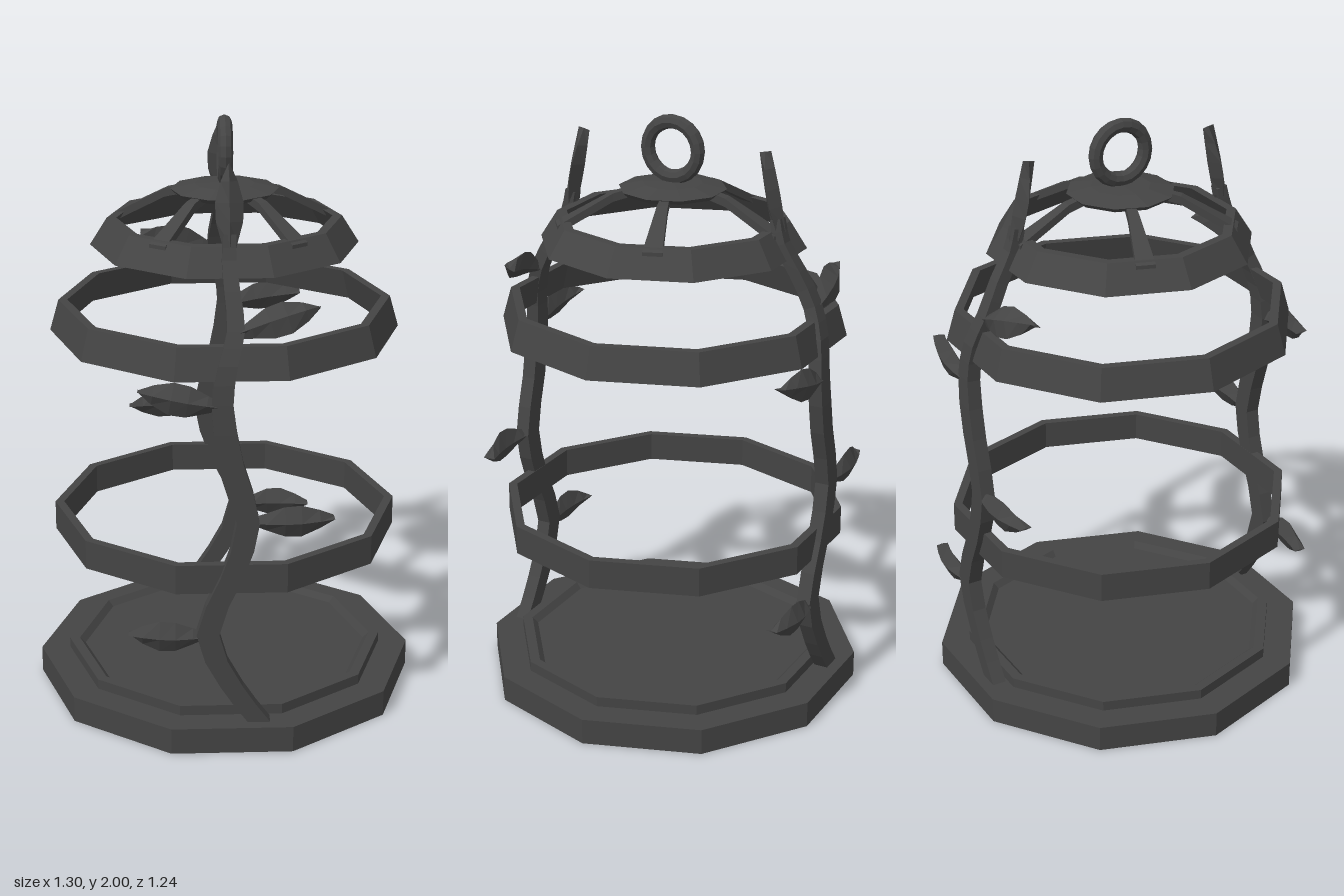
import * as THREE from 'three';

const material = new THREE.MeshStandardMaterial({ color: 0x444444, flatShading: true });
const V = (x, y, z) => new THREE.Vector3(x, y, z);

function add(parent, name, geometry) {
  const mesh = new THREE.Mesh(geometry, material);
  mesh.name = name;
  parent.add(mesh);
  return mesh;
}

// Ten-sided turned part with a corner on the x axis
function turned(profile) {
  const points = profile.map(([r, y]) => new THREE.Vector2(r, y));
  return new THREE.LatheGeometry(points, 10, Math.PI / 2);
}

// Closed band: outer and inner radius at bottom and top
function band(y0, y1, r0, r1, thick) {
  return turned([[r0, y0], [r1, y1], [r1 - thick, y1], [r0 - thick, y0], [r0, y0]]);
}

// Skin over cross-section loops, with both ends closed
function loft(rings) {
  const n = rings[0].length, last = (rings.length - 1) * n, index = [];
  for (let i = 0; i < rings.length - 1; i++) {
    for (let j = 0; j < n; j++) {
      const k = (j + 1) % n;
      const a = i * n + j, b = i * n + k, c = b + n, d = a + n;
      index.push(a, b, d, b, c, d);
    }
  }
  for (let j = 1; j < n - 1; j++) {
    index.push(0, j + 1, j, last, last + j, last + j + 1);
  }
  const geometry = new THREE.BufferGeometry().setFromPoints(rings.flat());
  geometry.setIndex(index);
  geometry.computeVertexNormals();
  return geometry;
}

// Flat four-sided stem following a winding path
function stemGeometry() {
  const path = new THREE.CatmullRomCurve3([
    [0.09, 0.09, 0.555], [0, 0.22, 0.555], [-0.078, 0.41, 0.555], [0, 0.61, 0.555],
    [0.052, 0.8, 0.555], [0, 1.0, 0.555], [-0.03, 1.2, 0.553], [-0.012, 1.32, 0.54],
    [0.014, 1.42, 0.505], [0.005, 1.53, 0.452], [-0.003, 1.62, 0.4], [0, 1.7, 0.38],
  ].map((p) => V(...p)));
  const rings = [];
  for (let i = 0; i <= 22; i++) {
    const t = i / 22, c = path.getPoint(t), d = path.getTangent(t);
    const taper = c.y < 1.1 ? 1 : 1 - (c.y - 1.1) * 0.75;
    const u = V(0, -d.z, d.y).normalize().multiplyScalar(0.024 * (0.5 + taper / 2));
    const v = V(0.037 * taper, 0, 0);
    rings.push([[1, 1], [-1, 1], [-1, -1], [1, -1]].map(([a, b]) =>
      c.clone().addScaledVector(u, a).addScaledVector(v, b)));
  }
  return loft(rings);
}

// Diamond-section leaf, bulging along its outward normal
function leafGeometry(base, tip, normal, width, bulge) {
  const d = tip.clone().sub(base).normalize();
  const u = normal.clone().addScaledVector(d, -normal.dot(d)).normalize();
  const v = d.clone().cross(u);
  const profile = [[0, 0.2, 0.7], [0.18, 0.55, 0.9], [0.4, 0.95, 1], [0.6, 1, 1], [0.82, 0.6, 0.9], [1, 0.05, 0.8]];
  return loft(profile.map(([t, w, h]) => {
    const c = base.clone().lerp(tip, t).addScaledVector(u, bulge * Math.sin(Math.PI * t));
    return [[h * 0.026, 0], [0, w * width], [-h * 0.026, 0], [0, -w * width]].map(([a, b]) =>
      c.clone().addScaledVector(u, a).addScaledVector(v, b));
  }));
}

function createVine() {
  const vine = new THREE.Group();
  add(vine, 'stem', stemGeometry());
  const leaves = [
    [V(-0.08, 0.4, 0.555), V(-0.335, 0.405, 0.54), V(0, 0, 1)],
    [V(0.06, 0.8, 0.555), V(0.33, 0.805, 0.54), V(0, 0, 1)],
    [V(-0.03, 1.19, 0.555), V(-0.295, 1.24, 0.535), V(0, 0.1, 1)],
    [V(0.015, 1.41, 0.51), V(0.28, 1.485, 0.465), V(0, 0.45, 0.9)],
  ];
  leaves.forEach(([base, tip, normal]) => add(vine, 'leaf', leafGeometry(base, tip, normal, 0.053, 0.02)));
  add(vine, 'tipLeaf', leafGeometry(V(0, 1.62, 0.395), V(0, 1.915, 0.333), V(0, 0.2, 1), 0.045, 0));
  return vine;
}

export function createModel() {
  const model = new THREE.Group();
  model.name = 'birdcage';

  // Base slab with a raised rim
  add(model, 'base', turned([[0, 0], [0.65, 0], [0.65, 0.09], [0, 0.09]]));
  add(model, 'baseRim', turned([[0.55, 0.085], [0.55, 0.125], [0.515, 0.125], [0.495, 0.105], [0, 0.105]]));

  // Cage hoops
  add(model, 'lowerHoop', band(0.55, 0.65, 0.587, 0.587, 0.03));
  add(model, 'upperHoop', band(1.275, 1.38, 0.587, 0.557, 0.03));
  add(model, 'roofHoop', band(1.57, 1.66, 0.447, 0.39, 0.032));

  // Crown plate and its five tapered spokes
  add(model, 'crown', turned([[0, 1.742], [0.165, 1.742], [0.18, 1.757], [0.1, 1.774], [0, 1.778]]));
  for (let i = 0; i < 5; i++) {
    const section = (r, y, w) => [[1, 1], [-1, 1], [-1, -1], [1, -1]].map(([a, b]) =>
      V(b * w, y + a * 0.014, -r));
    const spoke = add(model, 'roofSpoke', loft([
      section(0.13, 1.75, 0.014), section(0.2, 1.733, 0.018), section(0.385, 1.635, 0.032),
    ]));
    spoke.rotation.y = (i * Math.PI * 2) / 5;
  }

  // Hanging ring
  const ring = add(model, 'hangingRing', new THREE.TorusGeometry(0.092, 0.024, 8, 20));
  ring.rotation.y = Math.PI / 2;
  ring.position.y = 1.884;

  // Climbing vines, front and back
  ['frontVine', 'backVine'].forEach((name, i) => {
    const vine = createVine();
    vine.name = name;
    vine.rotation.y = i * Math.PI;
    model.add(vine);
  });
  return model;
}
